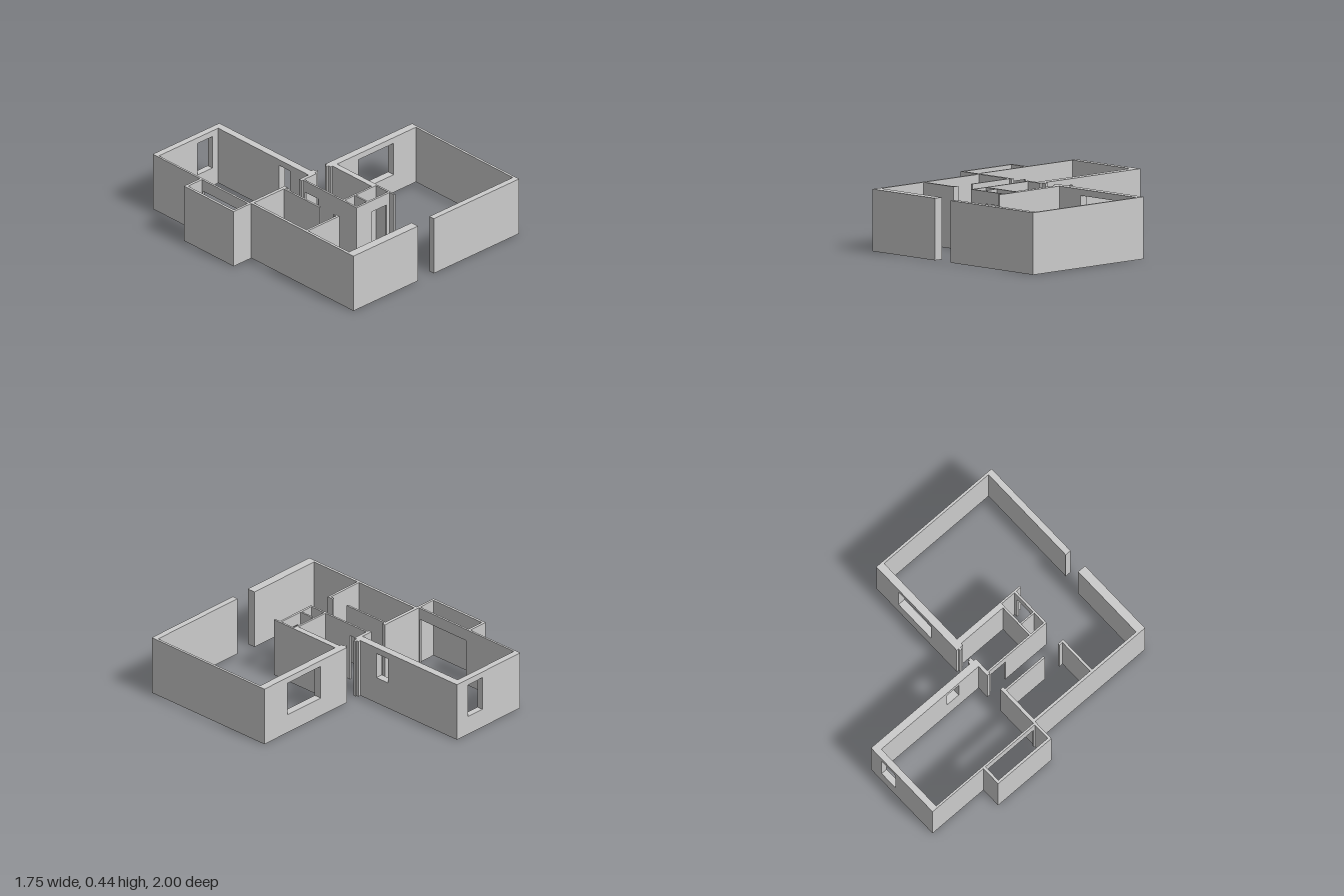
import * as THREE from 'three';

const H = 0.435; // wall height
const material = new THREE.MeshStandardMaterial({ color: 0xcccccc, flatShading: true });

// Elevation of a wall from u0 to u1, with an optional opening [u0, u1, y0, y1].
// An opening that starts at y = 0 is a doorway, otherwise a window.
function elevation(u0, u1, opening) {
  const shape = new THREE.Shape();
  shape.moveTo(u0, 0);
  if (opening && opening[2] === 0) {
    const [a, b, , top] = opening;
    shape.lineTo(a, 0).lineTo(a, top).lineTo(b, top).lineTo(b, 0);
  }
  shape.lineTo(u1, 0).lineTo(u1, H).lineTo(u0, H).closePath();
  if (opening && opening[2] > 0) {
    const [a, b, y0, y1] = opening;
    const hole = new THREE.Path();
    hole.moveTo(a, y0).lineTo(a, y1).lineTo(b, y1).lineTo(b, y0).closePath();
    shape.holes.push(hole);
  }
  return shape;
}

// Wall running along x
function wallX(name, x0, x1, z0, z1, opening) {
  const geometry = new THREE.ExtrudeGeometry(elevation(x0, x1, opening), { depth: z1 - z0, bevelEnabled: false });
  geometry.translate(0, 0, z0);
  const mesh = new THREE.Mesh(geometry, material);
  mesh.name = name;
  return mesh;
}

// Wall running along z: drawn along -z, then turned a quarter
function wallZ(name, x0, x1, z0, z1, opening) {
  const turned = opening && [-opening[1], -opening[0], opening[2], opening[3]];
  const geometry = new THREE.ExtrudeGeometry(elevation(-z1, -z0, turned), { depth: x1 - x0, bevelEnabled: false });
  geometry.rotateY(Math.PI / 2);
  geometry.translate(x0, 0, 0);
  const mesh = new THREE.Mesh(geometry, material);
  mesh.name = name;
  return mesh;
}

function room(name, ...walls) {
  const group = new THREE.Group();
  group.name = name;
  group.add(...walls);
  return group;
}

export function createModel() {
  const house = new THREE.Group();
  house.name = 'floorPlanWalls';

  house.add(
    // Long room at the back, with two windows and a wide opening to the alcove
    room('backRoom',
      wallX('backRoomBackWall', -0.725, -0.09, -1, -0.953, [-0.345, -0.2, 0.14, 0.39]),
      wallZ('backRoomLeftWall', -0.145, -0.09, -0.953, -0.02, [-0.34, -0.23, 0.2, 0.39]),
      wallZ('backRoomRightWall', -0.725, -0.71, -0.953, -0.045, [-0.495, -0.055, 0, 0.347]),
      wallX('backRoomFrontWall', -0.71, -0.37, -0.045, -0.02),
      wallX('backRoomFrontStub', -0.235, -0.145, -0.045, -0.02),
      wallX('backDoorRightJamb', -0.09, -0.07, -0.077, -0.04),
      wallX('backDoorRightStop', -0.07, -0.057, -0.06, -0.043)),

    // Narrow alcove beside the back room
    room('alcove',
      wallX('alcoveBackWall', -0.877, -0.725, -0.525, -0.505),
      wallZ('alcoveOuterWall', -0.877, -0.858, -0.505, -0.045),
      wallX('alcoveFrontWall', -0.877, -0.71, -0.045, -0.027)),

    // Rooms at the front right, with a partition and its door gap
    room('sideRooms',
      wallZ('sideOuterWall', -0.708, -0.688, -0.02, 0.935),
      wallX('sideFrontWall', -0.708, -0.09, 0.935, 1),
      wallZ('partitionLong', -0.404, -0.39, -0.02, 0.34),
      wallZ('partitionShort', -0.404, -0.39, 0.475, 0.505),
      wallX('partitionCross', -0.688, -0.39, 0.505, 0.523)),

    // Large front room with a wide back window
    room('largeRoom',
      wallX('largeRoomBackWall', 0.045, 0.875, -0.077, -0.02, [0.31, 0.645, 0.14, 0.39]),
      wallX('backDoorLeftStop', 0.028, 0.045, -0.06, -0.043),
      wallZ('largeRoomOuterWall', 0.857, 0.875, -0.02, 0.955),
      wallX('largeRoomFrontWall', 0.06, 0.875, 0.955, 1),
      wallZ('largeRoomInnerWall', 0.062, 0.105, -0.02, 0.385),
      wallZ('largeRoomInnerStub', 0.091, 0.105, 0.385, 0.565)),

    // Small inner room and the two closets in front of it
    room('innerRooms',
      wallZ('corridorWall', -0.222, -0.208, -0.02, 0.505, [0, 0.135, 0, 0.347]),
      wallX('innerRoomFrontWall', -0.208, 0.062, 0.37, 0.385),
      wallX('closetFrontWall', -0.222, 0.091, 0.505, 0.521, [-0.075, 0.065, 0, 0.347]),
      wallZ('closetDivider', -0.112, -0.1, 0.385, 0.505)),
  );
  return house;
}
